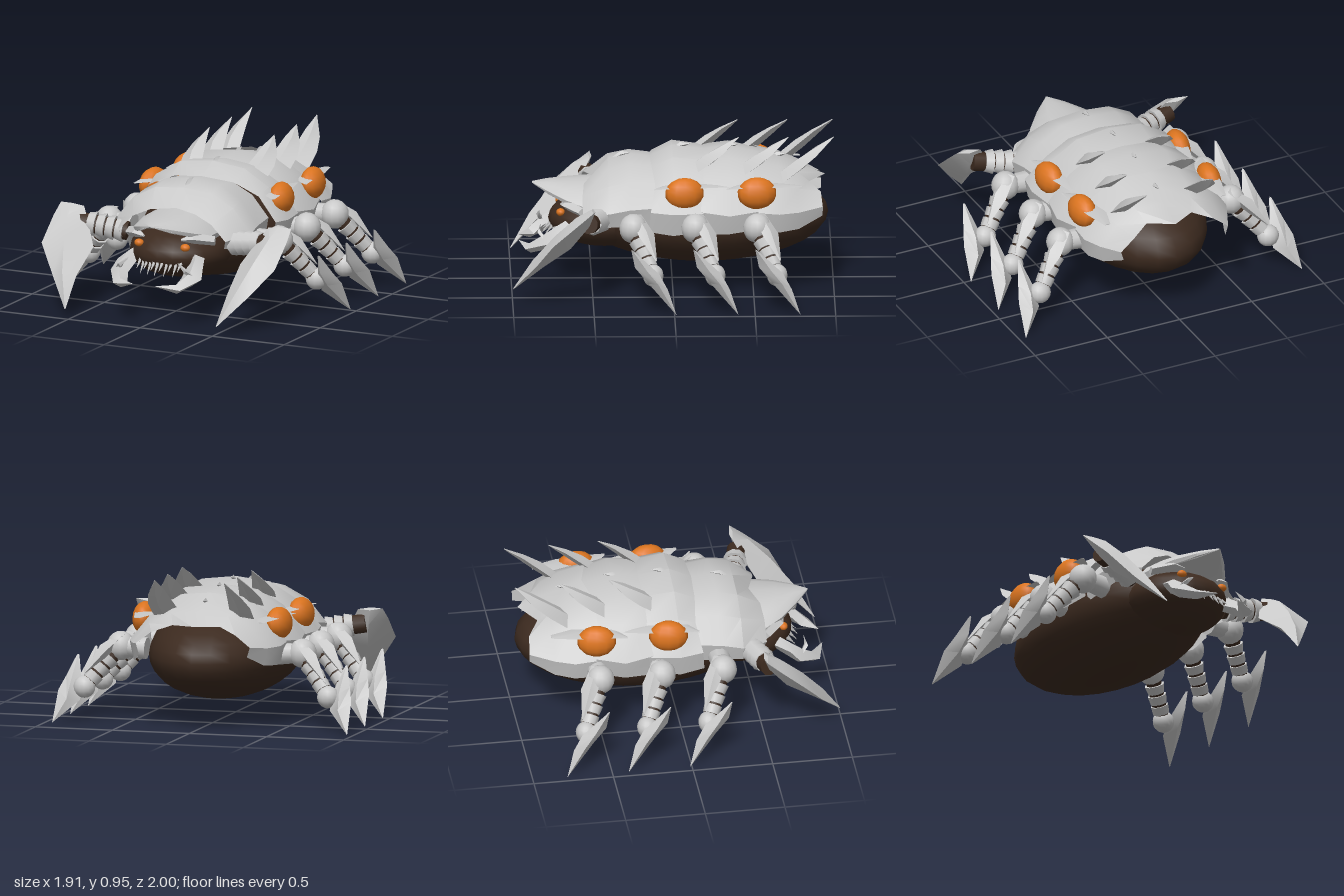
import * as THREE from 'three';
import { toCreasedNormals } from 'three/addons/utils/BufferGeometryUtils.js';

const V = (x, y, z) => new THREE.Vector3(x, y, z);

// Skin a list of cross-section loops; closed loops also get end caps.
function loft(rings, closed) {
  const n = rings[0].length, pos = [], idx = [];
  rings.forEach(r => r.forEach(p => pos.push(p.x, p.y, p.z)));
  for (let i = 0; i < rings.length - 1; i++) {
    for (let j = 0; j < (closed ? n : n - 1); j++) {
      const k = (j + 1) % n, a = i * n, b = a + n;
      idx.push(a + j, a + k, b + j, a + k, b + k, b + j);
    }
  }
  if (closed) {
    const e = (rings.length - 1) * n;
    for (let j = 1; j < n - 1; j++) idx.push(0, j + 1, j, e, e + j, e + j + 1);
  }
  const g = new THREE.BufferGeometry();
  g.setAttribute('position', new THREE.Float32BufferAttribute(pos, 3));
  g.setIndex(idx);
  return toCreasedNormals(g, 0.6);
}

// Diamond-section blade; each station is [centre, half-width vector, half-thickness vector].
const blade = stations => loft(stations.map(([c, w, t]) => [
  c.clone().add(w), c.clone().add(t), c.clone().sub(w), c.clone().sub(t)]), true);

// Arched plate; rows are [z, crown y, half width, shoulder y, hem y, z shift of each half-section point].
const plate = rows => loft(rows.map(([z, top, w, mid, hem, shift = [0, 0, 0, 0, 0]]) => {
  const h = top - mid;
  const half = [[0, top], [0.42 * w, top - 0.08 * h], [0.74 * w, top - 0.4 * h], [w, mid], [0.95 * w, hem]]
    .map(([x, y], j) => V(x, y, z + shift[j]));
  return [...half.slice(1).reverse().map(p => V(-p.x, p.y, p.z)), ...half];
}), false);

export function createModel() {
  const model = new THREE.Group();
  const shell = new THREE.MeshStandardMaterial({ color: 0xc8c8c8, side: THREE.DoubleSide });
  shell.name = 'pale shell';
  const flesh = new THREE.MeshStandardMaterial({ color: 0x3c2a1f });
  flesh.name = 'dark brown hide';
  const glow = new THREE.MeshStandardMaterial({ color: 0xdb741f });
  glow.name = 'orange';

  const add = (name, geo, mat, parent = model) => {
    const m = new THREE.Mesh(geo, mat);
    m.name = name;
    parent.add(m);
    return m;
  };
  const ball = (name, c, r, mat, parent = model, w = 14, h = 10) => {
    const m = add(name, new THREE.SphereGeometry(1, w, h), mat, parent);
    m.position.copy(c);
    m.scale.copy(r);
    return m;
  };
  const rod = (name, a, b, r1, r2, mat, parent, sides = 10) => {
    const d = b.clone().sub(a);
    const m = add(name, new THREE.CylinderGeometry(r2, r1, d.length(), sides), mat, parent);
    m.position.copy(a).addScaledVector(d, 0.5);
    m.quaternion.setFromUnitVectors(V(0, 1, 0), d.normalize());
    return m;
  };

  // Soft body and head
  ball('body', V(0, 0.435, -0.19), V(0.45, 0.3, 0.78), flesh, model, 24, 16);
  ball('head', V(0, 0.4, 0.42), V(0.32, 0.17, 0.35), flesh, model, 20, 12);

  // Overlapping back plates
  add('rearPlate', plate([
    [-0.5, 0.83, 0.49, 0.54, 0.41, [-0.05, 0, 0, -0.03, -0.03]],
    [-0.66, 0.79, 0.49, 0.53, 0.41],
    [-0.78, 0.74, 0.44, 0.53, 0.42],
    [-0.9, 0.67, 0.37, 0.55, 0.49, [-0.05, 0.05, -0.02, -0.03, -0.03]]]), shell);
  add('secondPlate', plate([
    [-0.17, 0.83, 0.5, 0.55, 0.4, [0, 0.01, -0.02, 0, 0]],
    [-0.35, 0.855, 0.53, 0.53, 0.41],
    [-0.58, 0.8, 0.46, 0.55, 0.43]]), shell);
  add('thirdPlate', plate([
    [0.13, 0.79, 0.51, 0.55, 0.42, [0.01, 0, -0.02, 0.01, 0.02]],
    [0, 0.86, 0.53, 0.54, 0.4],
    [-0.22, 0.83, 0.5, 0.54, 0.42]]), shell);
  add('frontPlate', plate([
    [0.54, 0.665, 0.37, 0.5, 0.45, [-0.04, 0.01, 0.02, 0.02, 0]],
    [0.4, 0.775, 0.47, 0.53, 0.44],
    [0.27, 0.805, 0.45, 0.55, 0.44],
    [0.08, 0.78, 0.43, 0.56, 0.43]]), shell);
  add('headPlate', plate([
    [0.87, 0.63, 0.006, 0.625, 0.62], [0.78, 0.64, 0.11, 0.595, 0.58], [0.67, 0.645, 0.21, 0.56, 0.535],
    [0.56, 0.65, 0.27, 0.53, 0.49], [0.4, 0.66, 0.27, 0.53, 0.49]]), shell);
  add('headPlateUnderside', plate([
    [0.865, 0.622, 0.006, 0.621, 0.62], [0.77, 0.59, 0.105, 0.575, 0.57], [0.67, 0.58, 0.2, 0.545, 0.535],
    [0.56, 0.58, 0.26, 0.51, 0.49]]), shell);

  // Small crest nubs down the middle
  [[-0.65, 0.79], [-0.35, 0.85], [-0.05, 0.855], [0.32, 0.8]].forEach(([z, y]) =>
    add('crestNub', blade([
      [V(0, y - 0.03, z + 0.05), V(0.012, 0, 0), V(0, 0.012, 0)],
      [V(0, y, z), V(0.015, 0, 0), V(0, 0.02, 0)],
      [V(0, y + 0.01, z - 0.06), V(0.001, 0, 0), V(0, 0.001, 0)]]), shell));

  // Teeth
  for (let i = -5; i <= 5; i++) {
    const x = i * 0.028, z = 0.79 - Math.abs(i) * 0.008, len = i % 2 ? 0.05 : 0.08;
    rod('tooth', V(x, 0.375, z - 0.04), V(x, 0.375 - len, z + 0.02), 0.013, 0.001, shell, model, 5);
  }

  for (const s of [1, -1]) {
    const P = (x, y, z) => V(s * x, y, z);

    // Leaning back spikes, broad at the root
    [[0.245, 0.71, -0.68, -1], [0.235, 0.75, -0.43, -0.72], [0.225, 0.76, -0.13, -0.41]].forEach(([x, y, z, zt]) => {
      const tip = P(0.225, 0.96, zt), root = P(x, y, z);
      add('backSpike', blade([
        [root, P(0.08, -0.02, 0), V(0, 0.025, 0.02)],
        [root.clone().lerp(tip, 0.35).add(P(0.02, 0, 0)), P(0.072, -0.02, 0), V(0, 0.024, 0.024)],
        [root.clone().lerp(tip, 0.65).add(P(0.02, 0, 0)), P(0.05, -0.02, 0), V(0, 0.016, 0.016)],
        [tip, P(0.002, 0, 0), V(0, 0.002, 0.002)]]), shell);
    });

    // Orange side bulbs, each set in a flat pointed ledge
    [[0.445, -0.07], [0.438, -0.52]].forEach(([x, z]) => {
      ball('sideBulb', P(x, 0.655, z), V(0.074, 0.1, 0.122), glow, model, 12, 9).rotation.set(0, s * 0.12, s * 0.12);
      add('sideLedge', blade([
        [P(0.48, 0.69, z + 0.19), P(0.01, 0, 0), V(0, 0.003, 0)],
        [P(0.42, 0.695, z + 0.1), P(0.065, 0, 0), V(0, 0.01, 0)],
        [P(0.4, 0.695, z - 0.12), P(0.065, 0, 0), V(0, 0.01, 0)],
        [P(0.4, 0.69, z - 0.28), P(0.02, 0, 0), V(0, 0.003, 0)]]), shell);
    });

    // Walking legs
    [0.25, -0.135, -0.52].forEach(z0 => {
      const leg = new THREE.Group();
      leg.name = 'walkingLeg';
      model.add(leg);
      const hip = P(0.59, 0.47, z0), knee = P(0.79, 0.22, z0 - 0.12);
      rod('hipStub', P(0.42, 0.46, z0), hip, 0.07, 0.06, shell, leg);
      ball('hipBall', hip, V(0.088, 0.092, 0.088), shell, leg);
      rod('legCore', hip, knee, 0.05, 0.045, flesh, leg, 8);
      for (let i = 0; i < 3; i++) {
        rod('legRing', hip.clone().lerp(knee, 0.28 + i * 0.2), hip.clone().lerp(knee, 0.44 + i * 0.2),
          0.064 - i * 0.004, 0.052, shell, leg, 8);
      }
      add('hipGuard', blade([
        [P(0.57, 0.55, z0 - 0.02), P(0.02, 0, 0.03), P(0.01, 0.01, 0)],
        [P(0.67, 0.45, z0 - 0.08), P(0.02, 0, 0.05), P(0.03, 0.03, 0)],
        [P(0.78, 0.31, z0 - 0.14), P(0.002, 0, 0.004), P(0.002, 0.002, 0)]]), shell, leg);
      ball('kneeBall', knee, V(0.07, 0.07, 0.065), shell, leg);
      add('footBlade', blade([
        [P(0.87, 0.4, z0 + 0.01), P(0.008, 0, 0), V(0, 0.005, 0.008)],
        [P(0.87, 0.27, z0 - 0.08), P(0.05, 0.01, 0), V(0, 0.02, 0.075)],
        [P(0.88, 0.17, z0 - 0.15), P(0.07, 0.03, 0), V(0, 0.02, 0.06)],
        [P(0.955, 0.01, z0 - 0.26), P(0.002, 0, 0), V(0, 0.002, 0.002)]]), shell, leg);
    });

    // Front scythe arms
    const arm = new THREE.Group();
    arm.name = 'frontArm';
    model.add(arm);
    const a = P(0.36, 0.47, 0.45), b = P(0.68, 0.52, 0.53);
    rod('armCore', a, b, 0.06, 0.06, flesh, arm);
    for (let i = 0; i < 4; i++) {
      rod('armRing', a.clone().lerp(b, 0.08 + i * 0.18), a.clone().lerp(b, 0.23 + i * 0.18), 0.08, 0.066, shell, arm, 9);
    }
    add('scythe', blade([
      [P(0.72, 0.615, 0.5), P(0.08, 0.005, 0), V(0, 0.008, 0.012)],
      [P(0.7, 0.54, 0.565), P(0.11, 0.01, 0.02), V(0, 0.03, 0.04)],
      [P(0.66, 0.4, 0.69), P(0.15, 0.01, 0.06), V(0, 0.04, 0.05)],
      [P(0.605, 0.25, 0.845), P(0.08, 0, 0.01), V(0, 0.025, 0.03)],
      [P(0.525, 0.07, 0.995), P(0.003, 0, 0), V(0, 0.002, 0.002)]]), shell, arm);

    // Hooked mandibles
    add('mandible', blade([
      [P(0.18, 0.41, 0.6), P(0.07, 0, 0), V(0, 0.05, 0)],
      [P(0.235, 0.36, 0.7), P(0.06, 0, 0.02), V(0, 0.045, 0.01)],
      [P(0.25, 0.3, 0.79), P(0.065, 0, -0.01), V(0, 0.045, 0.015)],
      [P(0.195, 0.25, 0.885), P(0.035, 0, 0.03), V(0, 0.03, 0.005)],
      [P(0.08, 0.27, 0.95), P(0.001, 0, 0.002), V(0, 0.002, 0)]]), shell);
    add('mandibleFang', blade([
      [P(0.27, 0.3, 0.78), P(0.02, 0, 0), V(0, 0.02, 0)],
      [P(0.22, 0.36, 0.83), P(0.015, 0, 0.01), V(0, 0.02, 0)],
      [P(0.17, 0.4, 0.82), P(0.001, 0, 0), V(0, 0.002, 0)]]), shell);

    // Eyes under pale brows
    ball('eye', P(0.16, 0.47, 0.695), V(0.032, 0.024, 0.028), glow, model, 10, 8);
    add('brow', blade([
      [P(0.13, 0.515, 0.69), P(0.004, 0, 0.01), V(0, 0.008, 0)],
      [P(0.2, 0.525, 0.65), P(0.01, 0, 0.04), V(0, 0.035, 0)],
      [P(0.3, 0.5, 0.56), P(0.01, 0, 0.03), V(0, 0.03, 0)]]), shell);
  }
  return model;
}
